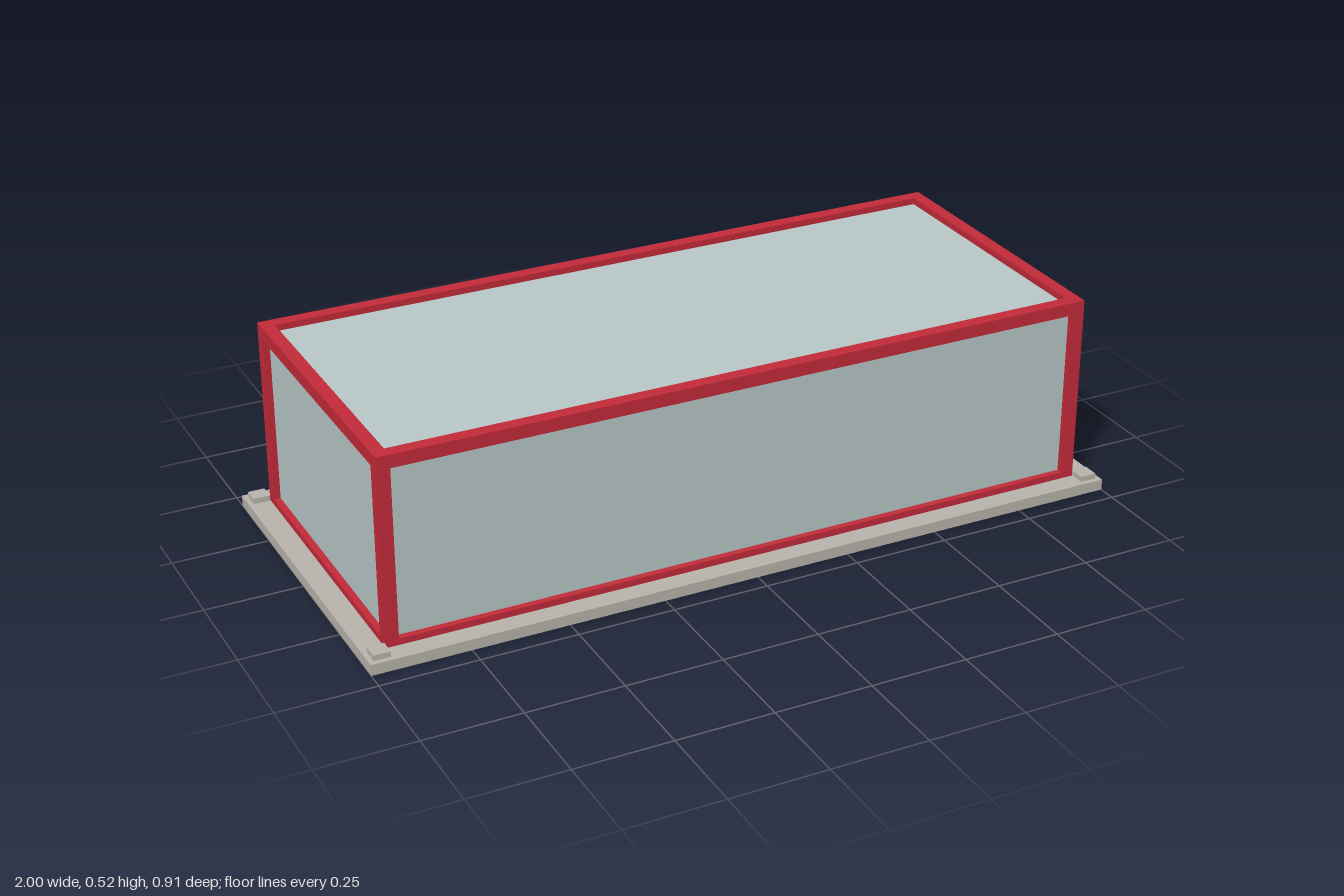
import * as THREE from 'three';

export function createModel() {
  const model = new THREE.Group();
  const stone = new THREE.MeshStandardMaterial({ color: 0xbab6ae });
  stone.name = 'warm grey stone';
  const red = new THREE.MeshStandardMaterial({ color: 0xc62b3a });
  red.name = 'red frame';
  const glass = new THREE.MeshStandardMaterial({ color: 0xbac9c8 });
  glass.name = 'pale glass';

  const box = (name, material, size, position, parent = model) => {
    const mesh = new THREE.Mesh(new THREE.BoxGeometry(...size), material);
    mesh.name = name;
    mesh.position.set(...position);
    parent.add(mesh);
  };

  const bar = 0.034;
  const baseTop = 0.029;
  const X = 0.943 - bar / 2; // bar centre lines
  const Z = 0.4 - bar / 2;
  const topY = 0.523 - bar / 2;
  const bottomY = 0.046 - bar / 2;

  // Base slab
  box('baseSlab', stone, [2, baseTop, 0.906], [0, baseTop / 2, 0]);

  // Glass enclosure, set halfway into the bars
  box('glassEnclosure', glass, [X * 2, topY - baseTop, Z * 2], [0, (topY + baseTop) / 2, 0]);

  // Frame: long and short rails, then the corner posts
  const frame = new THREE.Group();
  frame.name = 'frame';
  model.add(frame);
  for (const s of [-1, 1]) {
    for (const y of [bottomY, topY]) {
      box('longRail', red, [X * 2 - bar, bar, bar], [0, y, s * Z], frame);
      box('shortRail', red, [bar, bar, Z * 2 - bar], [s * X, y, 0], frame);
    }
  }
  const postBottom = bottomY - bar / 2;
  const postHeight = topY + bar / 2 - postBottom;
  for (const sx of [-1, 1]) {
    for (const sz of [-1, 1]) {
      box('cornerPost', red, [bar, postHeight, bar], [sx * X, postBottom + postHeight / 2, sz * Z], frame);
      // Small pad on the slab outside each corner
      box('cornerPad', stone, [0.043, 0.014, 0.043], [sx * 0.966, baseTop + 0.007, sz * 0.418]);
    }
  }
  return model;
}
